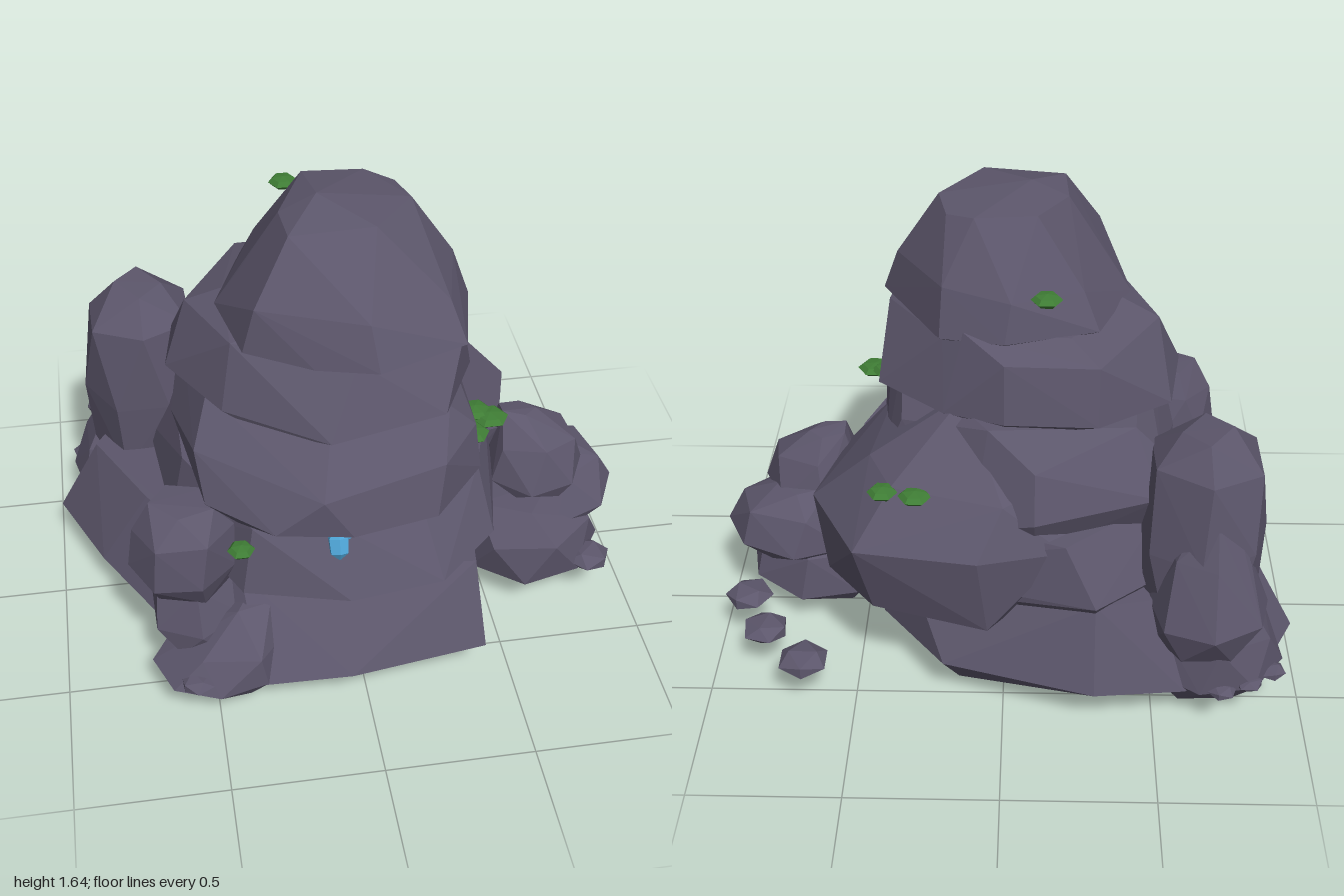
import * as THREE from 'three';
import { ConvexGeometry } from 'three/addons/geometries/ConvexGeometry.js';

const mat = (name, color) => {
  const m = new THREE.MeshStandardMaterial({ color, flatShading: true });
  m.name = name;
  return m;
};

// Ring of n corners inside the box x0..x1, z0..z1, as a flat list of x, z
function oval(x0, x1, z0, z1, n = 7, turn = 0) {
  const out = [];
  for (let i = 0; i < n; i++) {
    const a = turn + (i / n) * Math.PI * 2;
    out.push((x0 + x1) / 2 + Math.cos(a) * (x1 - x0) / 2, (z0 + z1) / 2 + Math.sin(a) * (z1 - z0) / 2);
  }
  return out;
}

export function createModel() {
  const model = new THREE.Group();
  model.name = 'rockFormation';
  const stone = mat('stone', 0x5c566b);
  const moss = mat('moss', 0x3f7d35);
  const crystal = mat('crystal', 0x4fa6d8);

  // Faceted boulder wrapped around level rings: [y, [x, z, x, z, ...]]
  function rock(name, ...rings) {
    const pts = [];
    rings.forEach(([y, xz], r) => {
      for (let i = 0; i < xz.length; i += 2) {
        pts.push(new THREE.Vector3(xz[i], y + 0.012 * Math.sin(i * 2.3 + r * 1.7), xz[i + 1]));
      }
    });
    const mesh = new THREE.Mesh(new ConvexGeometry(pts), stone);
    mesh.name = name;
    model.add(mesh);
  }

  // Main stack, bottom to top
  rock('baseSlab',
    [0.01, [-0.4, 0.1, 0.0, 0.25, 0.25, 0, 0.1, -0.33, -0.4, -0.35]],
    [0.06, [-0.75, -0.1, -0.5, 0.42, 0.2, 0.5, 0.42, 0.2, 0.36, -0.1, 0.15, -0.48, -0.45, -0.53, -0.78, -0.4]],
    [0.16, [-0.99, -0.3, -0.85, 0.04, -0.67, 0.35, -0.36, 0.71, -0.06, 0.73, 0.4, 0.67, 0.47, 0.1,
      0.42, -0.25, 0.2, -0.55, -0.3, -0.7, -0.6, -0.65, -0.9, -0.48]],
    [0.45, [-0.84, -0.28, -0.68, 0.05, -0.4, 0.5, 0.38, 0.55, 0.45, 0, 0.33, -0.35, -0.3, -0.6, -0.7, -0.5]]);
  rock('lowerSlab',
    [0.4, [-0.5, 0.25, -0.28, 0.5, 0.25, 0.5, 0.43, 0.3, 0.48, 0.1, 0.4, -0.42, -0.3, -0.58, -0.55, -0.3]],
    [0.47, [-0.6, 0.2, -0.4, 0.6, -0.06, 0.68, 0.25, 0.65, 0.46, 0.45, 0.54, 0.1, 0.5, -0.4, -0.3, -0.64, -0.65, -0.35]],
    [0.69, [-0.55, 0.15, -0.36, 0.56, -0.1, 0.56, 0.2, 0.51, 0.42, 0.34, 0.5, 0.1, 0.42, -0.35, -0.2, -0.58, -0.55, -0.3]]);
  rock('backBoulder',
    [0.36, [0.35, 0.1, 0.58, 0, 0.6, -0.28, 0.43, -0.5, 0.05, -0.6, -0.1, -0.4]],
    [0.64, [0.2, 0.2, 0.55, 0.1, 0.645, -0.23, 0.48, -0.57, 0.08, -0.64, -0.2, -0.55]],
    [0.82, [0.39, 0.1, 0.44, -0.29, 0.36, -0.46, 0, -0.55, -0.2, -0.4]],
    [1.05, [0.13, -0.25]]);
  rock('middleSlab',
    [0.6, [-0.45, -0.38, -0.1, -0.5, 0.25, -0.25]],
    [0.69, [-0.4, 0.52, -0.1, 0.6, 0.25, 0.55, 0.36, 0.3, 0.36, 0, 0.1, -0.5, -0.45, -0.4]],
    [0.77, [-0.5, 0.49, -0.3, 0.69, -0.06, 0.72, 0.22, 0.65, 0.4, 0.45, 0.43, 0.25, 0.4, -0.2, -0.1, -0.58, -0.5, -0.45, -0.57, 0]],
    [0.91, [-0.52, 0.38, -0.15, 0.71, 0.25, 0.6, 0.39, 0.4, 0.4, 0.1, 0.34, -0.2, -0.1, -0.53, -0.5, -0.35]],
    [1.0, [-0.46, 0.22, -0.1, 0.5, 0.3, 0.4, 0.35, 0.05, 0.05, -0.4, -0.42, -0.35]]);
  rock('upperSlab',
    [0.95, oval(-0.48, 0.33, -0.33, 0.45, 7, 0.4)],
    [1.0, [-0.58, 0.06, -0.42, 0.32, -0.1, 0.53, 0.28, 0.45, 0.41, 0.2, 0.42, -0.1, 0.2, -0.28, 0, -0.38, -0.3, -0.39, -0.54, -0.2]],
    [1.21, [-0.5, -0.02, -0.38, 0.27, 0, 0.42, 0.36, 0.3, 0.39, 0.08, 0.2, -0.2, 0, -0.35, -0.3, -0.35]],
    [1.26, oval(-0.38, 0.3, -0.28, 0.3, 6)]);
  rock('topBoulder',
    [1.19, oval(-0.33, 0.33, -0.2, 0.42, 7, 0.2)],
    [1.24, [-0.41, 0.08, -0.35, 0.35, -0.14, 0.46, 0.05, 0.53, 0.34, 0.43, 0.41, 0.12, 0.21, -0.22, 0, -0.29, -0.3, -0.2]],
    [1.38, [-0.33, 0.1, -0.31, 0.35, 0.03, 0.47, 0.3, 0.35, 0.36, 0.09, 0.2, -0.18, -0.02, -0.26, -0.25, -0.16]],
    [1.59, [-0.2, 0.1, -0.19, 0.26, 0.08, 0.27, 0.22, 0.09, 0.19, -0.04, 0.1, -0.1, -0.1, -0.1]],
    [1.63, [-0.08, 0.1, 0.02, 0.08]]);

  // Tall outcrop at the back
  rock('outcropTall',
    [0.35, oval(-0.84, -0.43, -0.62, -0.2, 6)],
    [0.64, oval(-0.86, -0.43, -0.64, -0.18, 7, 0.3)],
    [0.92, oval(-0.84, -0.45, -0.6, -0.2, 6, 0.5)],
    [1.03, oval(-0.72, -0.56, -0.52, -0.32, 4)]);
  rock('outcropMiddle',
    [0.3, oval(-0.82, -0.5, -0.68, -0.42, 6)],
    [0.43, oval(-0.87, -0.47, -0.74, -0.38, 7, 0.2)],
    [0.64, oval(-0.8, -0.52, -0.66, -0.4, 6, 0.4)],
    [0.78, oval(-0.73, -0.62, -0.6, -0.48, 4)]);
  rock('outcropFoot',
    [0.05, oval(-0.85, -0.5, -0.58, -0.3, 6)],
    [0.17, oval(-0.94, -0.45, -0.68, -0.26, 8, 0.2)],
    [0.33, oval(-0.9, -0.5, -0.67, -0.3, 6, 0.5)],
    [0.45, oval(-0.82, -0.62, -0.6, -0.4, 5)]);

  // Boulders at the front corner
  rock('cornerUpper',
    [0.43, oval(-0.72, -0.42, 0.3, 0.58, 6, 0.2)],
    [0.52, oval(-0.76, -0.4, 0.28, 0.63, 7, 0.4)],
    [0.67, oval(-0.74, -0.41, 0.31, 0.62, 6, 0.1)],
    [0.76, oval(-0.68, -0.46, 0.36, 0.54, 5, 0.5)]);
  rock('cornerMiddle',
    [0.2, oval(-0.68, -0.4, 0.3, 0.6, 6)],
    [0.3, oval(-0.71, -0.38, 0.28, 0.62, 6, 0.5)],
    [0.45, oval(-0.68, -0.42, 0.32, 0.56, 5, 0.3)]);
  rock('cornerLower',
    [0.1, oval(-0.62, -0.32, 0.42, 0.7, 6)],
    [0.15, [-0.71, 0.55, -0.65, 0.69, -0.5, 0.74, -0.34, 0.71, -0.28, 0.6, -0.3, 0.4, -0.62, 0.4]],
    [0.25, [-0.55, 0.67, -0.36, 0.71, -0.28, 0.6, -0.3, 0.42, -0.6, 0.45]],
    [0.38, [-0.42, 0.58, -0.31, 0.56, -0.34, 0.45]]);

  // Stack of boulders at the side
  rock('sideLower',
    [0.08, oval(0.46, 0.82, -0.12, 0.28, 6)],
    [0.14, oval(0.4, 0.94, -0.18, 0.37, 8, 0.2)],
    [0.28, oval(0.4, 0.9, -0.16, 0.38, 7, 0.4)],
    [0.4, oval(0.43, 0.75, -0.06, 0.3, 5)]);
  rock('sideMiddle',
    [0.27, oval(0.55, 0.92, -0.13, 0.24, 6)],
    [0.32, oval(0.48, 1.0, -0.18, 0.27, 8)],
    [0.44, oval(0.53, 0.95, -0.15, 0.19, 6, 0.3)],
    [0.52, oval(0.6, 0.8, -0.07, 0.1, 5)]);
  rock('sideUpper',
    [0.42, oval(0.52, 0.83, -0.06, 0.25, 6)],
    [0.47, oval(0.5, 0.86, -0.07, 0.28, 7)],
    [0.6, oval(0.52, 0.83, -0.03, 0.23, 6, 0.4)],
    [0.7, oval(0.55, 0.69, 0.02, 0.12, 5)]);

  // Loose pebbles: x, y, z, radius
  [[0.67, 0.17, -0.54, 0.09], [0.82, 0.17, -0.38, 0.085], [0.9, 0.18, -0.21, 0.085], [0.86, 0.17, 0.29, 0.085],
    [-0.57, 0.18, 0.69, 0.06], [-0.89, 0.18, -0.57, 0.05], [-0.81, 0.18, -0.63, 0.05], [-0.72, 0.17, -0.66, 0.05]
  ].forEach(([x, y, z, r], i) => {
    const m = new THREE.Mesh(new THREE.IcosahedronGeometry(r, 0), stone);
    m.name = 'pebble';
    m.position.set(x, y, z);
    m.scale.set(1, 0.45, 1);
    m.rotation.y = i * 1.3;
    model.add(m);
  });

  // Moss tufts: flattened six-sided beads
  const tuft = new THREE.SphereGeometry(0.05, 6, 4);
  [[0.47, 0.83, 0.27, 1.25], [0.425, 0.84, 0.24, 1.15], [0.39, 0.835, 0.35, 1.2], [0.28, 0.81, -0.49, 1.1],
    [0.385, 0.81, -0.47, 1], [-0.13, 1.435, -0.335, 1], [-0.4, 0.64, 0.58, 0.9]
  ].forEach(([x, y, z, s]) => {
    const m = new THREE.Mesh(tuft, moss);
    m.name = 'mossTuft';
    m.position.set(x, y, z);
    m.scale.set(s, 0.4, s);
    model.add(m);
  });

  // Crystals under the middle slab: x, y, z, size, tilt x, tilt z
  const shard = new THREE.LatheGeometry(
    [[0, -0.055], [0.032, -0.03], [0.036, 0.02], [0, 0.06]].map(p => new THREE.Vector2(...p)), 6);
  [[-0.09, 0.64, 0.6, 1, -0.5, 0], [-0.045, 0.67, 0.565, 0.85, -0.6, -1]].forEach(([x, y, z, s, tx, tz]) => {
    const m = new THREE.Mesh(shard, crystal);
    m.name = 'crystalShard';
    m.position.set(x, y, z);
    m.rotation.set(tx, 0, tz);
    m.scale.setScalar(s);
    model.add(m);
  });

  return model;
}
